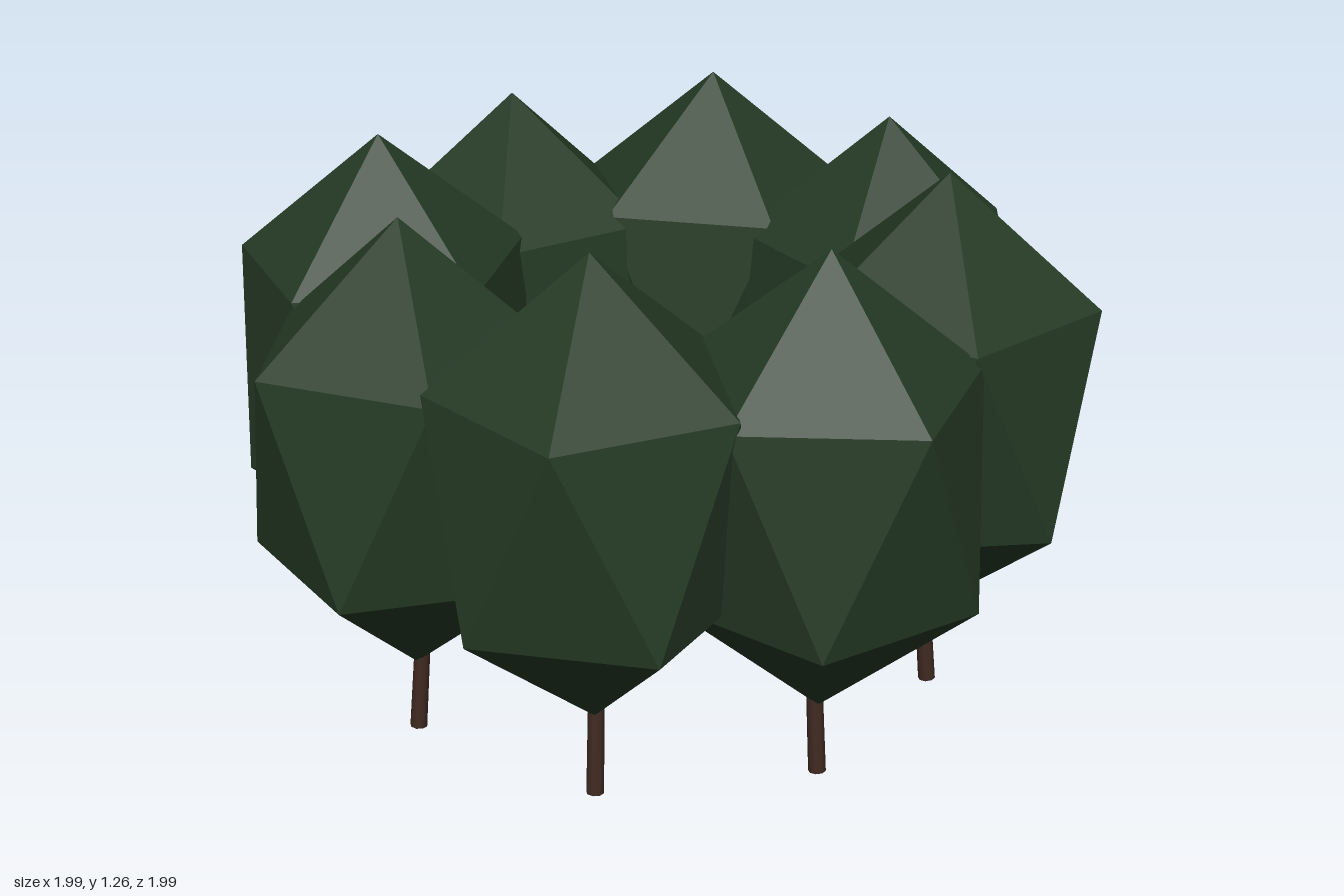
import * as THREE from 'three';

const TREES = 8;
const RING = 0.65; // distance of each tree from the centre

export function createModel() {
  const grove = new THREE.Group();
  grove.name = 'treeRing';

  const foliage = new THREE.MeshStandardMaterial({ color: 0x253a25 });
  foliage.name = 'dark green foliage';
  foliage.flatShading = true;
  const bark = new THREE.MeshStandardMaterial({ color: 0x3f2a21 });
  bark.name = 'brown bark';

  // Canopy: icosahedron standing on a corner, upper ring corner facing outward (+x)
  const canopyGeo = new THREE.IcosahedronGeometry(1, 0);
  canopyGeo.rotateZ(Math.atan(2 / (1 + Math.sqrt(5))));
  canopyGeo.rotateY(Math.PI);
  canopyGeo.scale(0.388, 0.533, 0.388);

  // Trunk: slim post with its foot at the origin, leaning slightly inward
  const trunkGeo = new THREE.CylinderGeometry(0.017, 0.02, 0.45, 8);
  trunkGeo.translate(0, 0.225, 0);
  trunkGeo.rotateZ(0.09);

  for (let i = 0; i < TREES; i++) {
    const tree = new THREE.Group();
    tree.name = `tree${i + 1}`;
    const angle = (i / TREES) * Math.PI * 2;
    tree.rotation.y = -angle;
    tree.position.set(Math.cos(angle) * RING, 0, Math.sin(angle) * RING);

    // every second tree carries its canopy a little higher
    const canopy = new THREE.Mesh(canopyGeo, foliage);
    canopy.name = 'canopy';
    canopy.position.y = i % 2 ? 0.728 : 0.702;

    const trunk = new THREE.Mesh(trunkGeo, bark);
    trunk.name = 'trunk';
    trunk.position.set(0.003, 0.002, 0);

    tree.add(canopy, trunk);
    grove.add(tree);
  }
  return grove;
}
